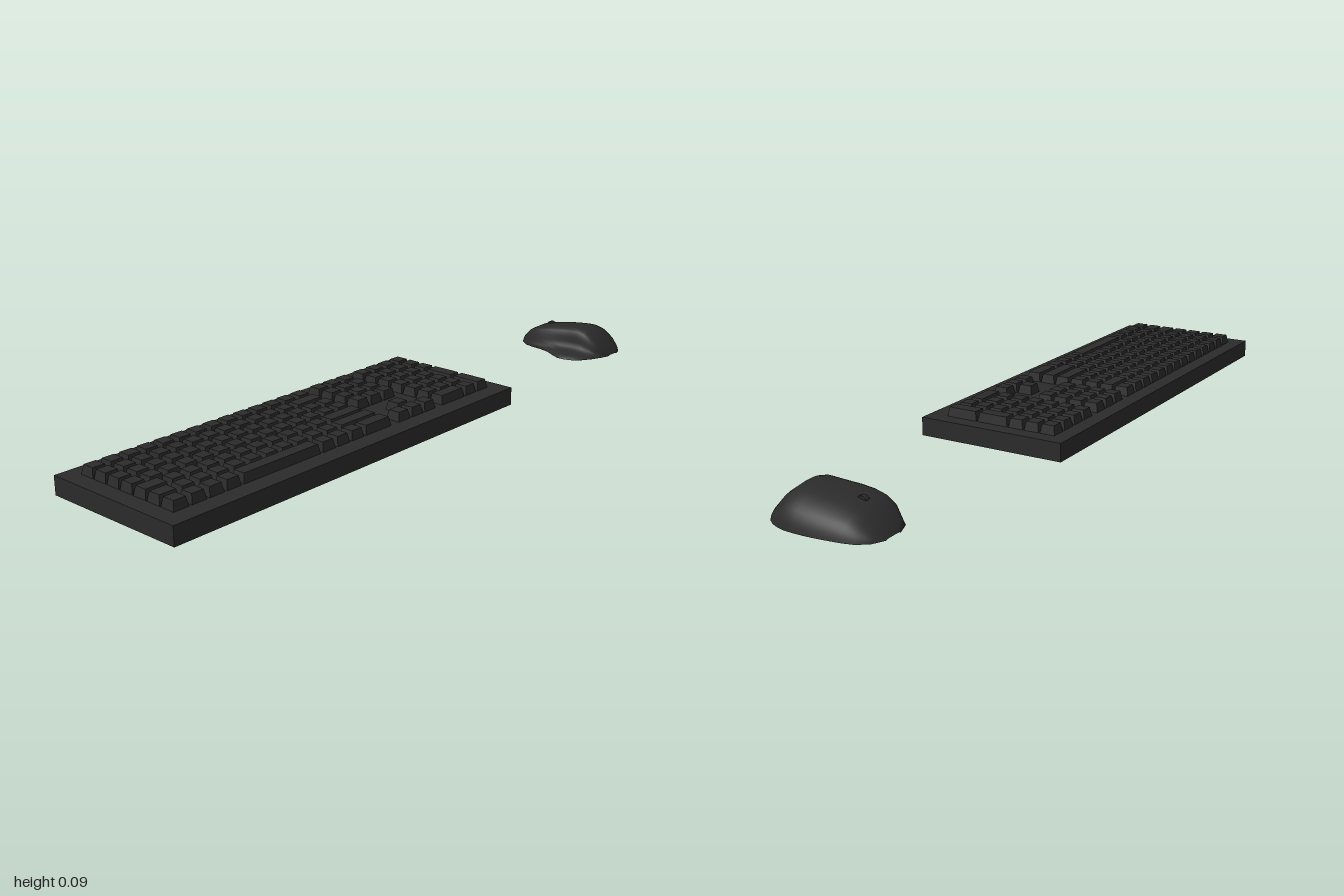
import * as THREE from 'three';
import { mergeGeometries } from 'three/addons/utils/BufferGeometryUtils.js';

const dark = new THREE.MeshStandardMaterial({ color: 0x2b2b2b });
const shellMaterial = new THREE.MeshStandardMaterial({ color: 0x2b2b2b, side: THREE.DoubleSide });

const PITCH_X = 0.0543, PITCH_Z = 0.05, GAP = 0.008;
const CASE_TOP = 0.053, KEY_HEIGHT = 0.026, FIRST_ROW_Z = -0.155;

function addMesh(parent, name, geometry, material = dark) {
  const mesh = new THREE.Mesh(geometry, material);
  mesh.name = name;
  parent.add(mesh);
  return mesh;
}

// Tapered keycap: a box whose top corners move inwards
function keycap(x, row, unitsWide = 1, unitsDeep = 1) {
  const w = unitsWide * PITCH_X - GAP, d = unitsDeep * PITCH_Z - 0.004;
  const geometry = new THREE.BoxGeometry(w, KEY_HEIGHT, d);
  const p = geometry.attributes.position;
  for (let i = 0; i < p.count; i++) {
    if (p.getY(i) > 0) {
      p.setX(i, p.getX(i) - Math.sign(p.getX(i)) * 0.005);
      p.setZ(i, p.getZ(i) - Math.sign(p.getZ(i)) * 0.005);
    }
  }
  geometry.computeVertexNormals();
  return geometry.translate(x + w / 2, CASE_TOP + KEY_HEIGHT / 2,
    FIRST_ROW_Z + (row + (unitsDeep - 1) / 2) * PITCH_Z);
}

const singles = (n) => Array(n).fill(1);

function createKeyboard() {
  const keyboard = new THREE.Group();
  keyboard.name = 'keyboard';
  addMesh(keyboard, 'keyboardCase', new THREE.BoxGeometry(1.272, CASE_TOP, 0.446)
    .translate(-0.364, CASE_TOP / 2, 0));

  // Main block: key widths per row, 14 units in total
  const rows = [
    singles(14),
    [...singles(12), 2],
    singles(14),
    singles(14),
    [1.5, ...singles(10), 2.5],
    [1.25, ...singles(10), 2.75],
    [...singles(4), 5, ...singles(3), 2],
  ];
  const mainKeys = [];
  rows.forEach((widths, row) => {
    let x = -0.952;
    for (const width of widths) {
      mainKeys.push(keycap(x, row, width));
      x += width * PITCH_X;
    }
  });
  addMesh(keyboard, 'mainKeys', mergeGeometries(mainKeys));

  // Navigation block and arrow keys
  const navX = -0.167, navigation = [], arrows = [];
  for (let column = 0; column < 3; column++) {
    for (let row = 0; row < 4; row++) navigation.push(keycap(navX + column * PITCH_X, row));
    arrows.push(keycap(navX + column * PITCH_X, 6));
  }
  arrows.push(keycap(navX + PITCH_X, 5));
  addMesh(keyboard, 'navigationKeys', mergeGeometries(navigation));
  addMesh(keyboard, 'arrowKeys', mergeGeometries(arrows));

  // Number pad with a wide bottom key and two tall keys
  const padX = 0.018, pad = [];
  for (let row = 0; row < 6; row++) {
    for (let column = 0; column < 3; column++) pad.push(keycap(padX + column * PITCH_X, row));
  }
  pad.push(keycap(padX, 6, 2), keycap(padX + 2 * PITCH_X, 6));
  for (const [row, depth] of [[0, 1], [1, 1], [2, 1], [3, 2], [5, 2]]) {
    pad.push(keycap(padX + 3 * PITCH_X, row, 1, depth));
  }
  addMesh(keyboard, 'numberPadKeys', mergeGeometries(pad));
  return keyboard;
}

// Mouse shell lofted along z through cross-sections
function mouseShell() {
  // z, thumb rest edge, left edge, right edge, height
  const stations = [
    [-0.147, 0.870, 0.870, 0.925, 0.003],
    [-0.130, 0.828, 0.828, 0.960, 0.022],
    [-0.100, 0.806, 0.806, 0.980, 0.050],
    [-0.070, 0.797, 0.797, 0.988, 0.066],
    [-0.035, 0.793, 0.793, 0.993, 0.074],
    [0.000, 0.783, 0.796, 0.997, 0.080],
    [0.035, 0.762, 0.801, 0.999, 0.084],
    [0.065, 0.747, 0.804, 0.999, 0.087],
    [0.090, 0.746, 0.804, 0.997, 0.088],
    [0.115, 0.754, 0.806, 0.991, 0.082],
    [0.140, 0.776, 0.812, 0.980, 0.064],
    [0.160, 0.808, 0.826, 0.965, 0.040],
    [0.175, 0.845, 0.848, 0.945, 0.018],
    [0.183, 0.875, 0.875, 0.920, 0.003],
  ];
  const SEGMENTS = 28, positions = [], index = [];
  for (const [z, rest, left, right, h] of stations) {
    const w = right - left, at = (u, v) => new THREE.Vector2(left + u * w, v * h);
    const section = new THREE.SplineCurve([
      new THREE.Vector2(rest, 0),
      new THREE.Vector2(rest + (left - rest) * 0.2, 0.12 * h),
      at(0.02, 0.25), at(0.06, 0.7), at(0.12, 0.93), at(0.28, 1),
      at(0.5, 0.97), at(0.7, 0.85), at(0.87, 0.6), at(0.96, 0.3), at(1, 0),
    ]);
    for (const p of section.getPoints(SEGMENTS)) positions.push(p.x, Math.max(p.y, 0), z);
  }
  const stride = SEGMENTS + 1;
  for (let i = 0; i < stations.length - 1; i++) {
    for (let j = 0; j < SEGMENTS; j++) {
      const a = i * stride + j, b = a + stride;
      index.push(a, b, a + 1, a + 1, b, b + 1);
    }
  }
  const geometry = new THREE.BufferGeometry();
  geometry.setAttribute('position', new THREE.Float32BufferAttribute(positions, 3));
  geometry.setIndex(index);
  geometry.computeVertexNormals();
  return geometry;
}

function createMouse() {
  const mouse = new THREE.Group();
  mouse.name = 'mouse';
  addMesh(mouse, 'mouseShell', mouseShell(), shellMaterial);
  // Scroll wheel
  addMesh(mouse, 'scrollWheel', new THREE.CylinderGeometry(0.016, 0.016, 0.014, 20)
    .rotateZ(Math.PI / 2).translate(0.88, 0.06, -0.05));
  return mouse;
}

export function createModel() {
  const model = new THREE.Group();
  model.name = 'keyboardAndMouse';
  model.add(createKeyboard(), createMouse());
  return model;
}
